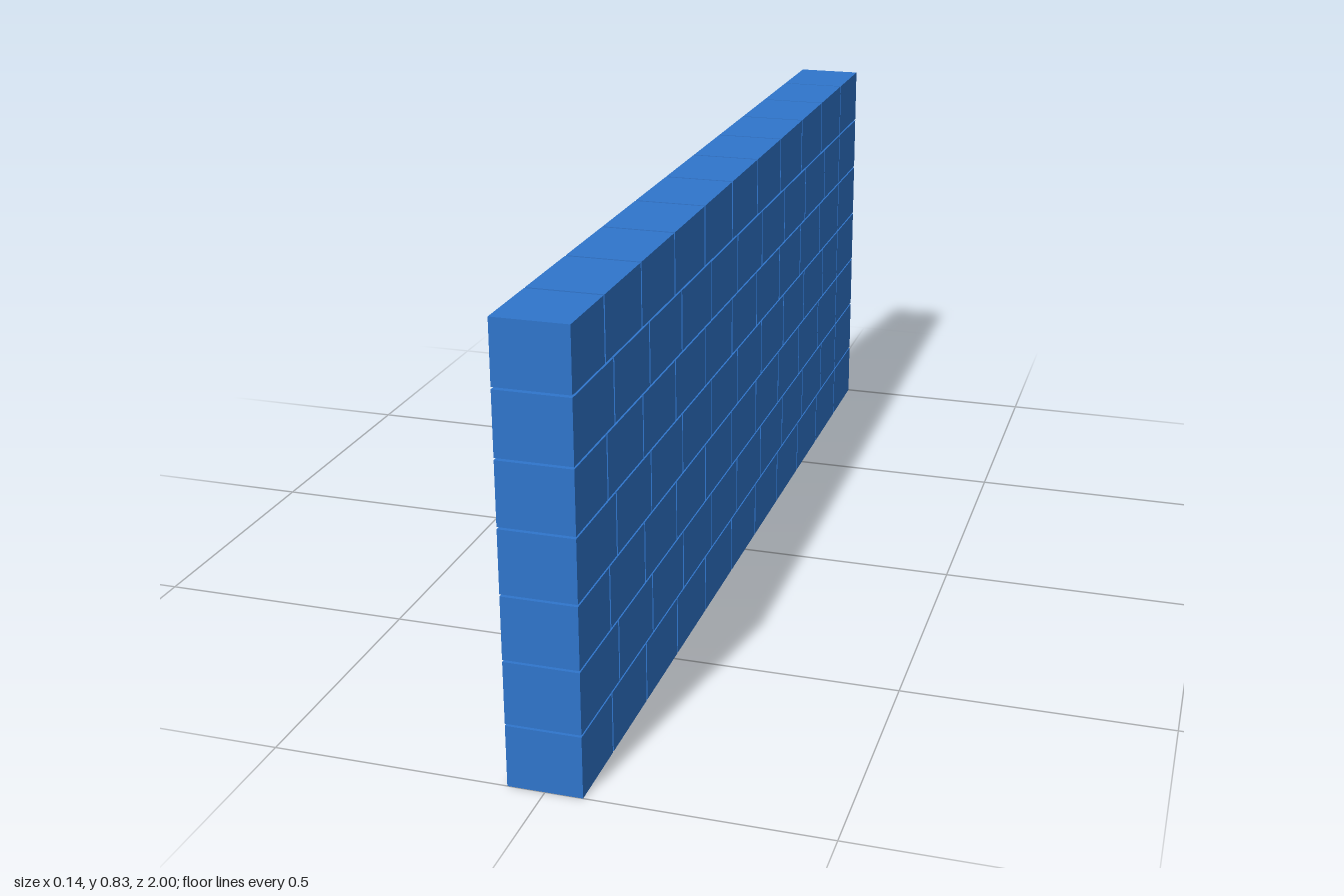
import * as THREE from 'three';

const ROWS = 7, HEIGHT = 0.83, DEPTH = 0.135;
const PITCH = 0.1855, END_JOINT = -0.827, GAP = 0.005, ROW_GAP = 0.004;

export function createModel() {
  const wall = new THREE.Group();
  wall.name = 'brickWall';
  const material = new THREE.MeshStandardMaterial({ color: 0x2f75cc });
  const brickHeight = (HEIGHT - (ROWS - 1) * ROW_GAP) / ROWS;

  for (let row = 0; row < ROWS; row++) {
    const course = new THREE.Group();
    course.name = `course${row + 1}`;
    course.position.y = brickHeight / 2 + row * (brickHeight + ROW_GAP);
    wall.add(course);

    // joint centres along z: alternate courses are staggered, all end in a corner brick
    const first = row % 2 ? 0.808 : 0.848;
    const edges = [1 + GAP / 2];
    for (let k = 0; k < 9; k++) edges.push(first - k * PITCH);
    edges.push(END_JOINT, -1 - GAP / 2);

    for (let i = 0; i < edges.length - 1; i++) {
      const length = edges[i] - edges[i + 1] - GAP;
      // skip the sliver where the staggered run already reaches the corner brick
      if (length < 0.02) continue;
      const brick = new THREE.Mesh(new THREE.BoxGeometry(DEPTH, brickHeight, length), material);
      brick.name = 'brick';
      brick.position.z = (edges[i] + edges[i + 1]) / 2;
      course.add(brick);
    }
  }
  return wall;
}
